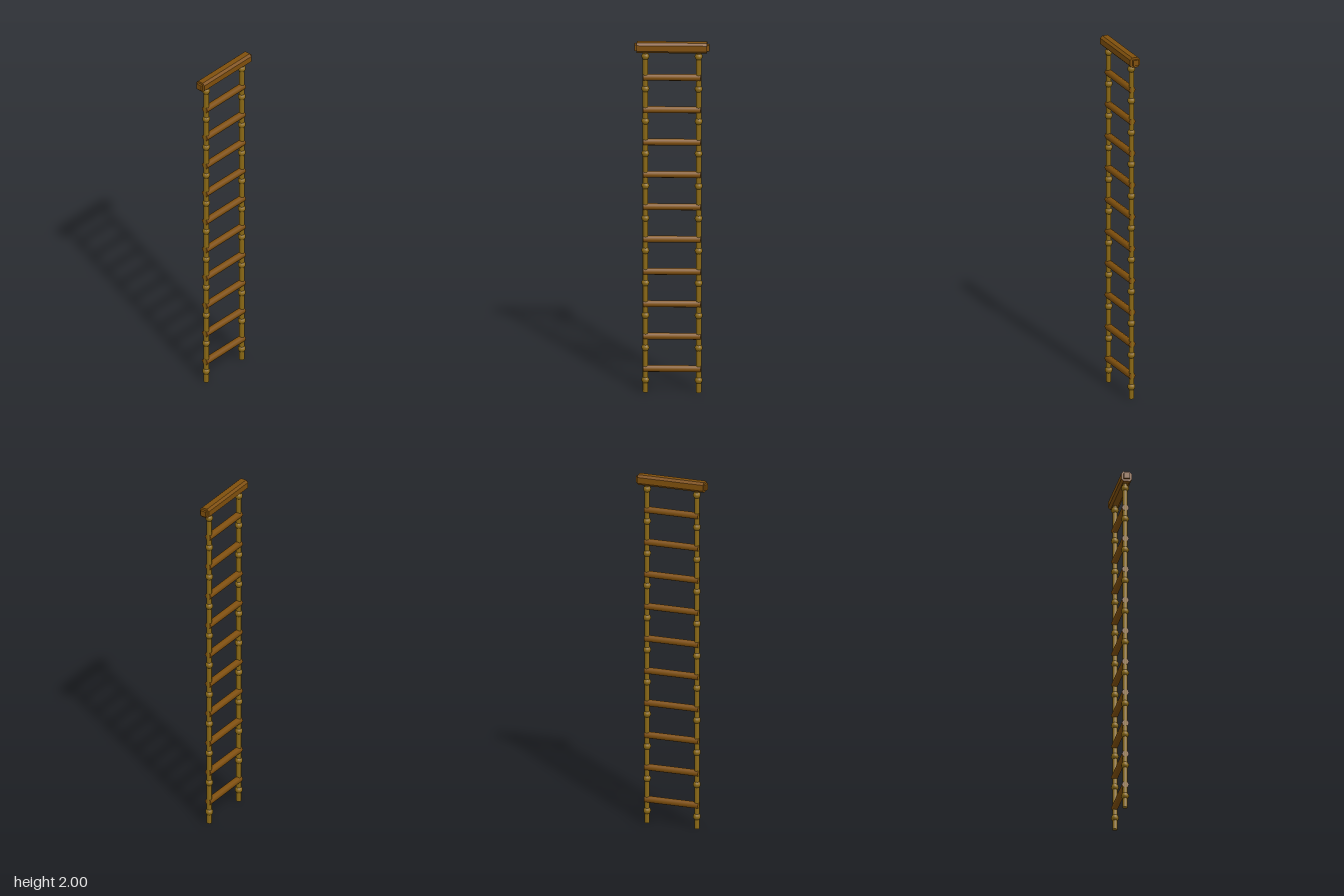
import * as THREE from 'three';

export function createModel() {
  const ladder = new THREE.Group();
  ladder.name = 'ropeLadder';

  const wood = new THREE.MeshStandardMaterial({ color: 0x7f4f0c });
  wood.name = 'brown wood';
  const rope = new THREE.MeshStandardMaterial({ color: 0x8b6914 });
  rope.name = 'tan rope';

  const add = (name, geometry, material, x, y, z = 0) => {
    const mesh = new THREE.Mesh(geometry, material);
    mesh.name = name;
    mesh.position.set(x, y, z);
    ladder.add(mesh);
    return mesh;
  };

  const ropeX = 0.145;
  const step = 0.185;
  const barY = 1.971;

  // Top bar: a chamfered beam with a narrower core showing at both ends
  const a = 0.029, b = 0.0165;
  const section = new THREE.Shape(
    [[a, -b], [a, b], [b, a], [-b, a], [-a, b], [-a, -b], [-b, -a], [b, -a]]
      .map(([x, y]) => new THREE.Vector2(x, y)));
  const beam = new THREE.ExtrudeGeometry(section, { depth: 0.384, bevelEnabled: false });
  beam.translate(0, 0, -0.192);
  beam.rotateY(Math.PI / 2);
  add('topBar', beam, wood, 0, barY);
  add('topBarCore', new THREE.BoxGeometry(0.41, 0.033, 0.033), wood, 0, barY);

  // Side ropes with evenly spaced knots
  const ropeGeometry = new THREE.CylinderGeometry(0.0145, 0.0145, 1.96, 8);
  const knotGeometry = new THREE.SphereGeometry(0.0215, 10, 8);
  for (const [side, x] of [['left', ropeX], ['right', -ropeX]]) {
    add(side + 'Rope', ropeGeometry, rope, x, 0.98);
    for (let i = 0; i < 11; i++) {
      add(side + 'Knot', knotGeometry, rope, x, 0.069 + i * step);
    }
  }

  // Rungs
  const rungGeometry = new THREE.CylinderGeometry(0.0195, 0.0195, 0.314, 8);
  rungGeometry.rotateZ(Math.PI / 2);
  for (let i = 0; i < 10; i++) {
    add('rung', rungGeometry, wood, 0, 0.134 + i * step);
  }

  return ladder;
}
